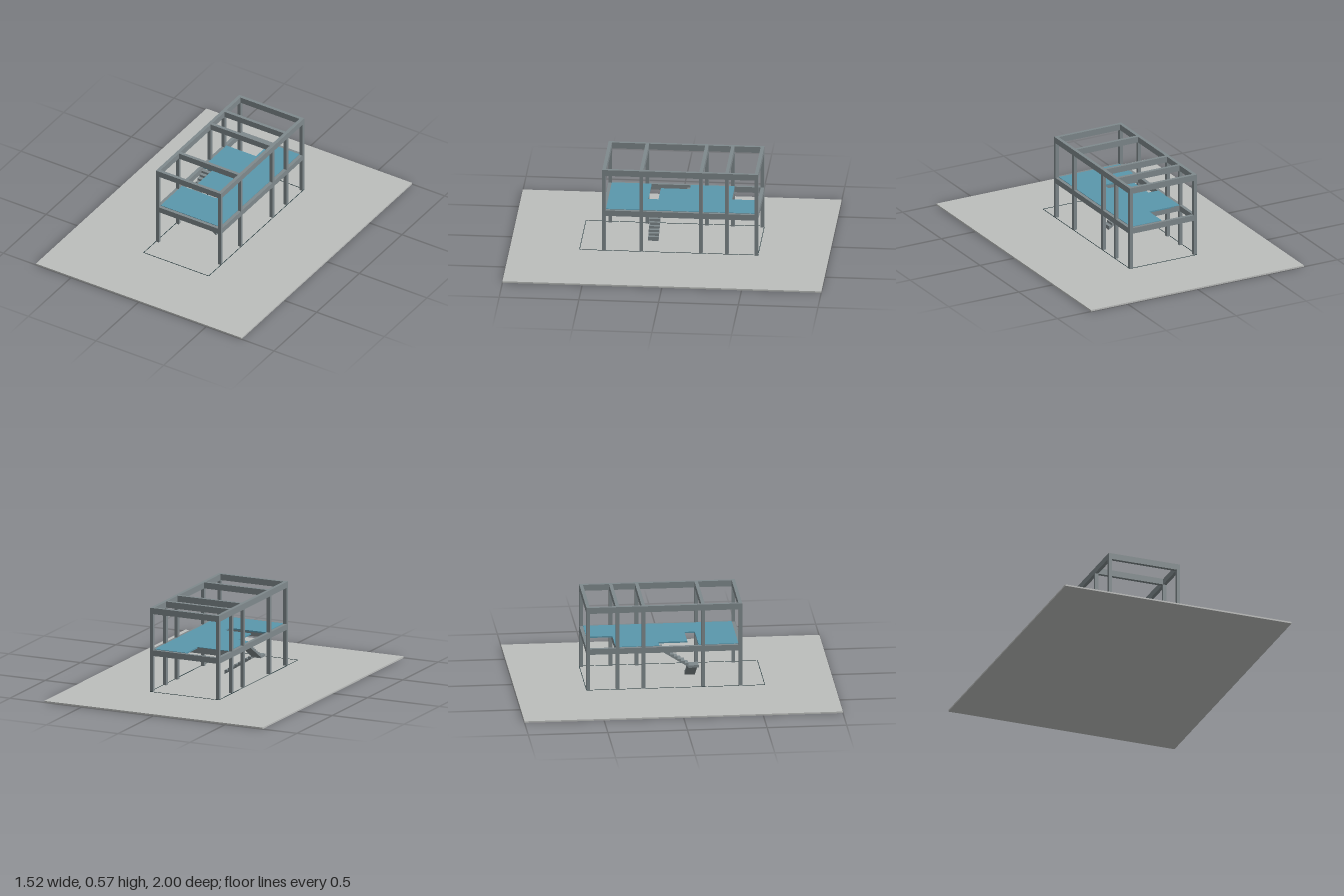
import * as THREE from 'three';

const mat = (name, color) => Object.assign(new THREE.MeshStandardMaterial({ color }), { name });

export function createModel() {
  const model = new THREE.Group();
  model.name = 'buildingFrame';
  const concrete = mat('concrete grey', 0x7f898c);
  const floorBlue = mat('floor blue', 0x5a97ac);
  const groundGrey = mat('ground grey', 0xbcbebc);
  const lineDark = mat('outline dark', 0x1c3236);

  const add = (name, geometry, material) => {
    const mesh = new THREE.Mesh(geometry, material);
    mesh.name = name;
    model.add(mesh);
    return mesh;
  };
  // box given by its minimum and maximum corners
  const box = (name, material, x0, x1, y0, y1, z0, z1) =>
    add(name, new THREE.BoxGeometry(x1 - x0, y1 - y0, z1 - z0), material)
      .position.set((x0 + x1) / 2, (y0 + y1) / 2, (z0 + z1) / 2);

  // ground plate
  box('ground', groundGrey, -0.76, 0.76, 0, 0.01, -1, 1);

  // thin plot outline at the foot of the columns
  const w = 0.003, y0 = 0.027, y1 = 0.029;
  for (const s of [-1, 1]) {
    box('plotLineSide', lineDark, s * 0.24 - w / 2, s * 0.24 + w / 2, y0, y1, -0.56, 0.56);
    box('plotLineEnd', lineDark, -0.24, 0.24, y0, y1, s * 0.56 - w / 2, s * 0.56 + w / 2);
  }

  // columns and beams
  const X = 0.24, t = 0.022;
  const frames = [-0.549, -0.364, -0.201, 0.173, 0.407];
  const levels = [[0.26, 0.297], [0.53, 0.569]];
  for (const z of frames) {
    for (const s of [-1, 1]) {
      const a = s * X, b = s * (X - t);
      const lo = Math.min(a, b), hi = Math.max(a, b);
      box('lowerColumn', concrete, lo, hi, 0.028, 0.26, z - t / 2, z + t / 2);
      box('upperColumn', concrete, lo, hi, 0.297, 0.53, z - t / 2, z + t / 2);
    }
    for (const [b, top] of levels)
      box('crossBeam', concrete, -X + t, X - t, b, top, z - t / 2, z + t / 2);
  }
  for (const [b, top] of levels) {
    box('rightBeam', concrete, -X, -X + t, b, top, -0.56, 0.418);
    box('leftBeam', concrete, X - t, X, b, top, -0.56, 0.418);
  }

  // floor slab with a notch for the stairs and an open back corner
  const floor = [
    [0.218, 0.396], [0.218, -0.538], [0, -0.538], [0, -0.375], [-0.218, -0.375],
    [-0.218, -0.10], [-0.148, -0.10], [-0.148, 0.082], [0.036, 0.082],
    [0.036, 0.146], [-0.218, 0.146], [-0.218, 0.396],
  ];
  const floorShape = new THREE.Shape(floor.map(([x, z]) => new THREE.Vector2(x, -z)));
  const slab = new THREE.ExtrudeGeometry(floorShape, { depth: 0.009, bevelEnabled: false });
  add('floorSlab', slab.rotateX(-Math.PI / 2), floorBlue).position.y = 0.291;

  // stair flight: saw-tooth top, sloping underside, climbing along +x of its own frame
  const steps = 8, run = 0.023, rise = 0.015, width = 0.066;
  const flight = (name) => {
    const s = new THREE.Shape();
    s.moveTo(0, -0.01);
    for (let i = 0; i < steps; i++) {
      s.lineTo(i * run, (i + 1) * rise);
      s.lineTo((i + 1) * run, (i + 1) * rise);
    }
    s.lineTo(steps * run, steps * rise - 0.012);
    s.closePath();
    return add(name, new THREE.ExtrudeGeometry(s, { depth: width, bevelEnabled: false }), concrete);
  };
  const lower = flight('lowerFlight');
  lower.rotation.y = Math.PI;
  lower.position.set(0.035, 0.028, 0.147);
  const upper = flight('upperFlight');
  upper.rotation.y = Math.PI / 2;
  upper.position.set(-0.217, 0.163, 0.082);
  box('stairLanding', concrete, -0.217, -0.149, 0.147, 0.163, 0.081, 0.147);

  return model;
}
